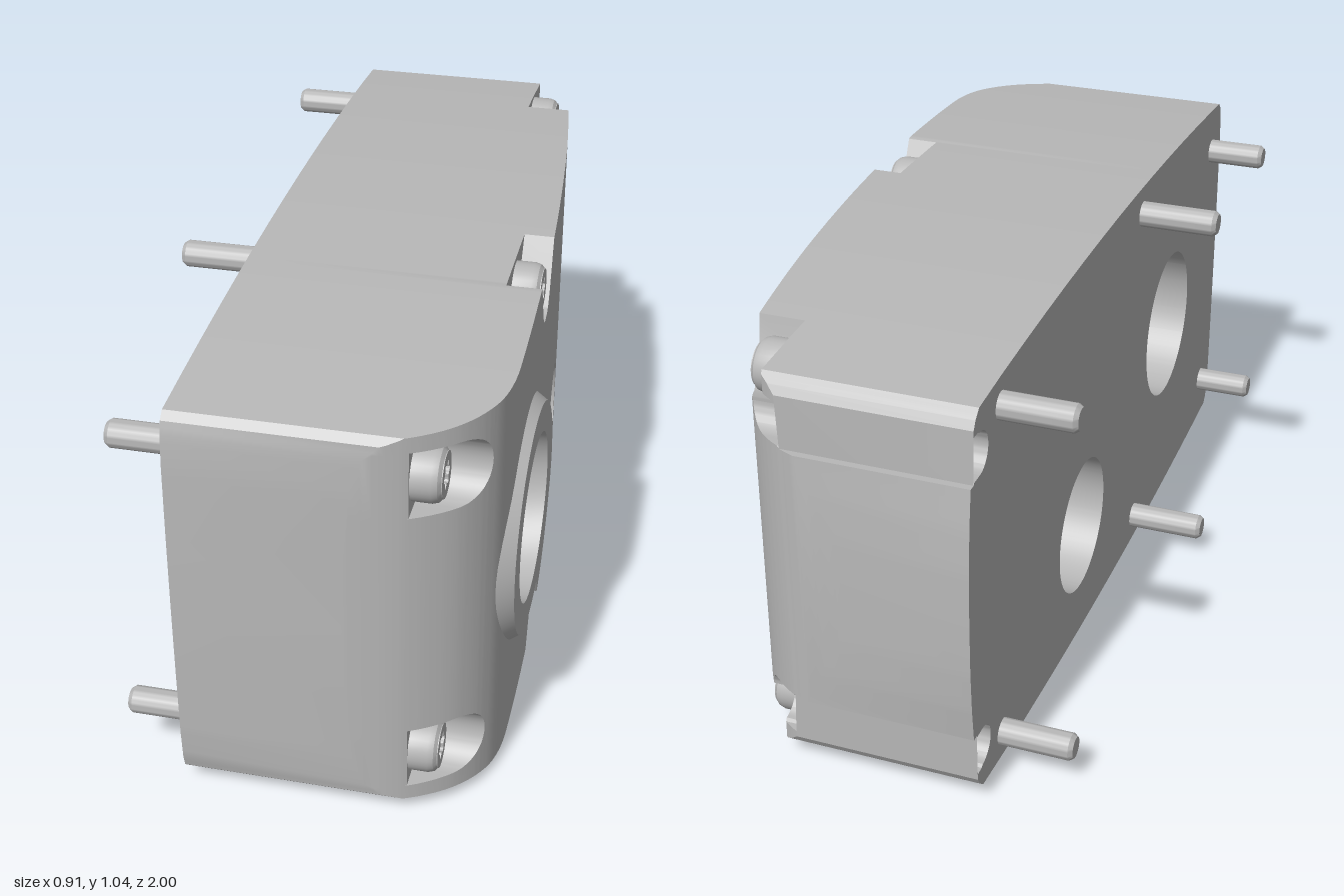
import * as THREE from 'three';
import { toCreasedNormals } from 'three/addons/utils/BufferGeometryUtils.js';

const BACK = -0.26; // flat mounting face
const H = 1.04; // overall height
const V = (x, y) => new THREE.Vector2(x, y);

// piecewise linear function through [z, value] points sorted by z
function polyline(pts) {
  return z => {
    if (z <= pts[0][0]) return pts[0][1];
    for (let i = 1; i < pts.length; i++) {
      const [a, p] = pts[i - 1], [b, q] = pts[i];
      if (z <= b) return p + (q - p) * (z - a) / (b - a);
    }
    return pts[pts.length - 1][1];
  };
}

// domed front surface: x as a function of z
const facePts = new THREE.SplineCurve([
  [-1, 0.03], [-0.985, 0.13], [-0.94, 0.22], [-0.87, 0.285], [-0.79, 0.32], [-0.72, 0.335], [-0.4, 0.375],
  [0, 0.41], [0.3, 0.425], [0.6, 0.432], [0.74, 0.428], [0.83, 0.4], [0.91, 0.335], [0.97, 0.235], [1, 0.12],
].map(p => V(...p))).getPoints(70).map(p => [p.x, p.y]);
const faceX = polyline(facePts);

// upper outline: y as a function of z (the lower one mirrors it)
const topPts = [[-1, 0.52], [-0.998, 0.65], [-0.992, 0.75], [-0.982, 0.84], [-0.965, 0.84], [-0.962, 0.965],
  [-0.95, 0.985], [-0.93, 1.003]];
for (let i = 1; i < 14; i++) {
  const z = -0.93 + 1.895 * i / 14;
  topPts.push([z, H - 0.041 * z * z]);
}
topPts.push([0.965, 1.002], [0.982, 0.985], [0.99, 0.955], [0.996, 0.88], [0.999, 0.7], [1, 0.52]);
const top = polyline(topPts);

// cut-outs: z range, lower and upper edge, and the x of the floor
const arc = (cz, r, z) => Math.sqrt(Math.max(0, r * r - (z - cz) ** 2));
const samples = (a, b, n) => Array.from({ length: n + 1 }, (_, i) => (a + b) / 2 - (b - a) / 2 * Math.cos(Math.PI * i / n));
const bore = (cz, cy, r) => ({
  a: cz - r, b: cz + r, floor: BACK, zs: samples(cz - r, cz + r, 40),
  lo: z => cy - arc(cz, r, z), hi: z => cy + arc(cz, r, z),
});
const grooveHi = z => z < -0.93 ? 0.95 : 0.895 + arc(-0.93, 0.05, z);
const groove = {
  a: -0.97, b: -0.88, floor: BACK, zs: [-0.97, ...samples(-0.98, -0.88, 20).filter(z => z > -0.94)],
  lo: z => z < -0.93 ? 0.845 : 0.895 - arc(-0.93, 0.05, z), hi: grooveHi,
};
const slot = {
  a: 0.82, b: 1, floor: 0.255, zs: samples(0.82, 0.98, 20),
  lo: z => 0.885 - (z > 0.9 ? 0.08 : arc(0.9, 0.08, z)), hi: z => 0.885 + (z > 0.9 ? 0.08 : arc(0.9, 0.08, z)),
};
const openNotch = (pts, floor, limit = () => 0) => {
  const f = polyline(pts);
  return { a: pts[0][0], b: pts[pts.length - 1][0], floor, zs: pts.map(p => p[0]), lo: z => Math.max(f(z), limit(z)), hi: () => 2 };
};
const middleNotch = openNotch([[0.09, 1.045], [0.155, 0.925], [0.178, 0.902], [0.2, 0.894], [0.235, 0.894],
  [0.257, 0.902], [0.28, 0.925], [0.345, 1.045]], 0.345);
const rearNotch = openNotch([[-0.96, 0.9], [-0.88, 0.895], [-0.84, 0.88], [-0.805, 0.873], [-0.775, 0.88],
  [-0.75, 0.9], [-0.738, 0.93], [-0.718, 1.045]], 0.225, z => z < -0.88 ? grooveHi(z) : 0);
const flip = c => ({ ...c, lo: z => H - c.hi(z), hi: z => H - c.lo(z) });
const paired = [groove, slot, middleNotch, rearNotch];
const cuts = [bore(0.5, 0.525, 0.2), bore(-0.235, 0.31, 0.172), ...paired, ...paired.map(flip)];

// body built in thin strips along z, each split into cells across y
function housingGeometry() {
  const pos = [];
  const quad = (a, b, c, d) => pos.push(...a, ...b, ...c, ...a, ...c, ...d);
  const all = [...facePts, ...topPts].map(p => p[0]).concat(...cuts.map(c => c.zs));
  const zs = [...new Set(all.map(z => Math.round(z * 1e4) / 1e4))].sort((p, q) => p - q);
  for (let i = 1; i < zs.length; i++) {
    const z = [zs[i - 1], zs[i]], mid = (z[0] + z[1]) / 2;
    const active = cuts.filter(c => mid > c.a && mid < c.b).sort((p, q) => p.lo(mid) - q.lo(mid));
    const hi = z.map(top), face = z.map(faceX);
    let y = hi.map(t => H - t), height = [BACK, BACK];
    const wallTo = h => {
      quad([h[0], y[0], z[0]], [h[1], y[1], z[1]], [height[1], y[1], z[1]], [height[0], y[0], z[0]]);
      height = h;
    };
    const cell = (end, h) => {
      end = end.map((e, k) => Math.min(hi[k], Math.max(y[k], e)));
      if (end[0] - y[0] + end[1] - y[1] < 1e-6) return;
      wallTo(h);
      if (h[0] > BACK) {
        quad([h[0], y[0], z[0]], [h[0], end[0], z[0]], [h[1], end[1], z[1]], [h[1], y[1], z[1]]);
        quad([BACK, y[0], z[0]], [BACK, y[1], z[1]], [BACK, end[1], z[1]], [BACK, end[0], z[0]]);
      }
      y = end;
    };
    for (const c of active) {
      cell(z.map(c.lo), face);
      cell(z.map(c.hi), face.map(f => Math.min(f, c.floor)));
    }
    cell(hi, face);
    wallTo([BACK, BACK]);
  }
  const g = new THREE.BufferGeometry();
  g.setAttribute('position', new THREE.Float32BufferAttribute(pos, 3));
  return toCreasedNormals(g, 0.5);
}

// turned part with its axis along x; points are [radius, x]
function turned(points, segments) {
  const g = new THREE.LatheGeometry(points.map(p => V(...p)), segments).rotateZ(-Math.PI / 2);
  return toCreasedNormals(g, 0.5);
}

// flat head face with a six-lobed socket
function socketGeometry() {
  const shape = new THREE.Shape().absarc(0, 0, 0.051, 0, Math.PI * 2);
  const lobes = Array.from({ length: 48 }, (_, i) => {
    const a = i / 48 * Math.PI * 2, r = 0.027 + 0.005 * Math.cos(6 * a);
    return V(r * Math.cos(a), r * Math.sin(a));
  });
  shape.holes.push(new THREE.Path(lobes));
  return new THREE.ExtrudeGeometry(shape, { depth: 0.03, bevelEnabled: false, curveSegments: 16 }).rotateY(Math.PI / 2);
}

export function createModel() {
  const model = new THREE.Group();
  const grey = new THREE.MeshStandardMaterial({ color: 0xb8b8b8 });
  grey.name = 'castGrey';
  const add = (name, geometry, parent = model) => {
    const mesh = new THREE.Mesh(geometry, grey);
    mesh.name = name;
    parent.add(mesh);
    return mesh;
  };

  add('housing', housingGeometry());

  // raised chamfered collar around the large bore
  add('boreCollar', turned([[0.297, 0.34], [0.297, 0.415], [0.272, 0.453], [0.2, 0.453], [0.2, 0.415]], 64))
    .position.set(0, 0.525, 0.5);

  // recessed web with the small chamfered hole
  add('smallHoleSeat', turned([[0.173, 0.3], [0.11, 0.3], [0.09, 0.28], [0.09, 0.2], [0.173, 0.2]], 48))
    .position.set(0, 0.31, -0.235);

  // three pairs of screws: z, y, seat x, tip x
  const socket = socketGeometry();
  for (const [name, z, y, seat, tip] of [
    ['frontScrew', 0.9, 0.885, 0.255, -0.41],
    ['middleScrew', 0.2175, 0.965, 0.345, -0.455],
    ['rearScrew', -0.805, 0.945, 0.225, -0.437],
  ]) {
    const body = turned([[0, tip], [0.025, tip], [0.032, tip + 0.01], [0.032, seat + 0.001], [0.063, seat + 0.001],
      [0.063, seat + 0.045], [0.059, seat + 0.058], [0.05, seat + 0.066], [0.05, seat + 0.04], [0, seat + 0.04]], 32);
    for (const side of [1, -1]) {
      const screw = new THREE.Group();
      screw.name = name;
      screw.position.set(0, side > 0 ? y : H - y, z);
      add('screwBody', body, screw);
      add('screwSocket', socket, screw).position.x = seat + 0.037;
      model.add(screw);
    }
  }
  return model;
}
